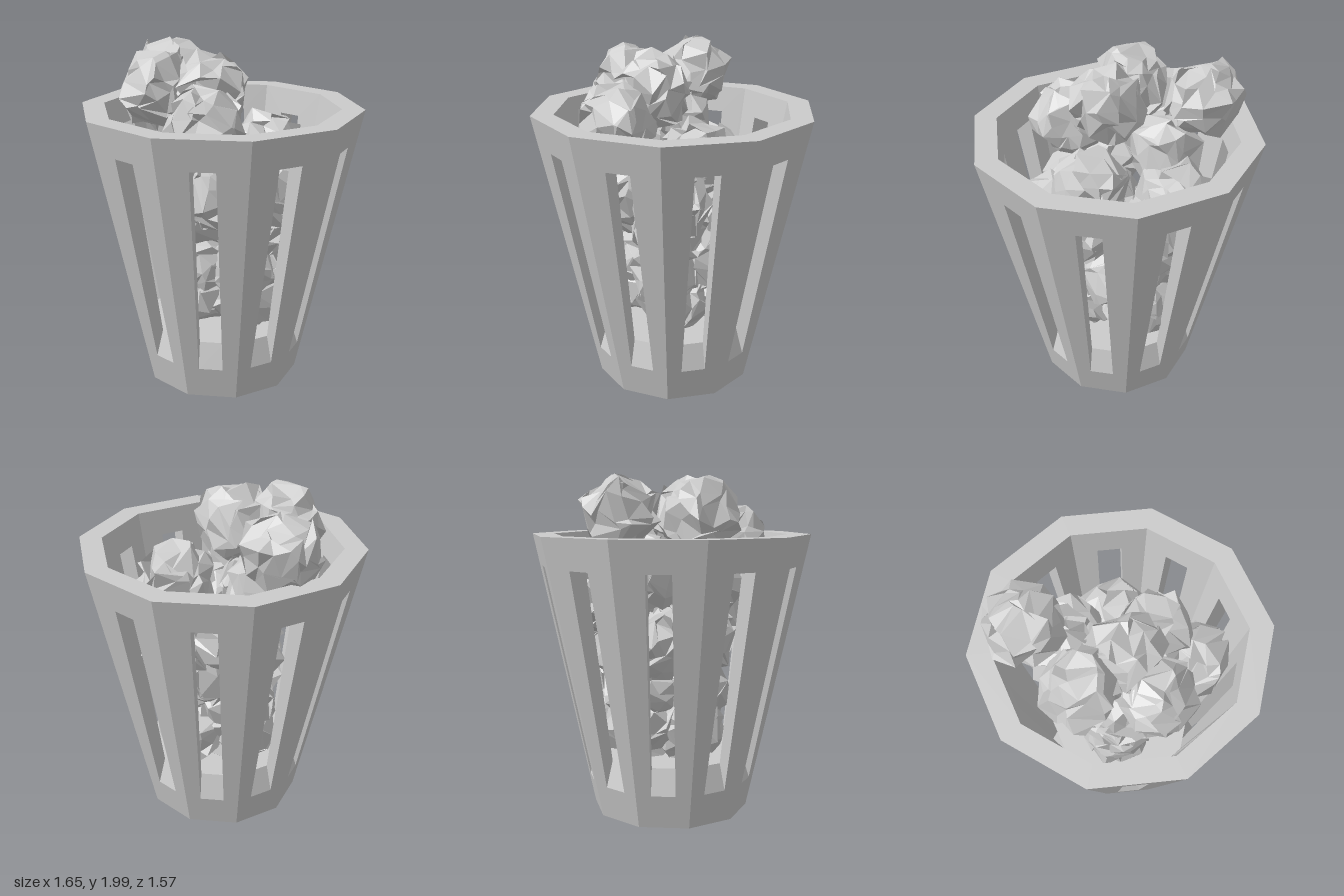
import * as THREE from 'three';

const SIDES = 10, TAN = Math.tan(Math.PI / SIDES);
const H = 1.655, FLOOR = 0.35, SLOT_W = 0.07;
// distance of the wall faces from the axis; the wall thickens towards the rim
const outer = y => 0.444 + 0.2065 * y;
const inner = y => 0.374 + 0.173 * y;

// small seeded generator
function seeded(seed) {
  let s = seed * 7919 + 17;
  return () => {
    s = (s + 0x6d2b79f5) | 0;
    let t = Math.imul(s ^ (s >>> 15), 1 | s);
    t = (t + Math.imul(t ^ (t >>> 7), 61 | t)) ^ t;
    return ((t ^ (t >>> 14)) >>> 0) / 4294967296;
  };
}

// One of the ten wall panels: slotted outside and inside, slot sides, rim, floor and base wedges
function panelGeometry() {
  const pos = [];
  const tri = (a, b, c) => pos.push(...a, ...b, ...c);
  const quad = (a, b, c, d) => { tri(a, b, c); tri(a, c, d); };
  const P = (f, x, y) => [x, y, f(y)];
  const corner = (f, s, y) => P(f, s * f(y) * TAN, y);

  // a sloping face from y0 to H with an opening from low to high
  const face = (f, y0, low, high, flip) => {
    const q = (a, b, c, d) => flip ? quad(d, c, b, a) : quad(a, b, c, d);
    const bl = corner(f, -1, y0), br = corner(f, 1, y0), tl = corner(f, -1, H), tr = corner(f, 1, H);
    const hbl = P(f, -SLOT_W, low), hbr = P(f, SLOT_W, low);
    const htl = P(f, -SLOT_W, high), htr = P(f, SLOT_W, high);
    q(bl, hbl, htl, tl);
    q(hbr, br, tr, htr);
    q(htl, htr, tr, tl);
    if (low > y0) q(bl, br, hbr, hbl);
    return [hbl, hbr, htr, htl];
  };
  const [a, b, c, d] = face(outer, 0, 0.2, 1.475, false);
  const [e, f, g, h] = face(inner, FLOOR, FLOOR, 1.5, true);

  quad(a, b, f, e);                         // sloping sill
  quad(d, h, g, c);                         // slot head
  quad(a, e, h, d);                         // slot sides
  quad(b, c, g, f);
  quad(corner(outer, -1, H), corner(outer, 1, H), corner(inner, 1, H), corner(inner, -1, H));  // rim
  tri([0, FLOOR, 0], corner(inner, -1, FLOOR), corner(inner, 1, FLOOR));                       // floor
  tri([0, 0, 0], corner(outer, 1, 0), corner(outer, -1, 0));                                   // base

  const geo = new THREE.BufferGeometry();
  geo.setAttribute('position', new THREE.Float32BufferAttribute(pos, 3));
  geo.computeVertexNormals();
  return geo;
}

// Crumpled ball: a faceted sphere whose shared corners are pushed into spikes and dents
function crumpledGeometry(radius, seed) {
  const geo = new THREE.IcosahedronGeometry(1, 2);
  const p = geo.attributes.position, v = new THREE.Vector3();
  const rand = seeded(seed), moved = new Map();
  for (let i = 0; i < p.count; i++) {
    v.fromBufferAttribute(p, i);
    const key = v.toArray().map(n => Math.round(n * 100)).join();
    if (!moved.has(key)) {
      const jitter = new THREE.Vector3(rand() - 0.5, rand() - 0.5, rand() - 0.5).multiplyScalar(0.55);
      const r = radius * (0.82 + 0.32 * rand());
      moved.set(key, v.clone().add(jitter).normalize().multiplyScalar(r));
    }
    const m = moved.get(key);
    p.setXYZ(i, m.x, m.y, m.z);
  }
  geo.computeVertexNormals();
  return geo;
}

export function createModel() {
  const model = new THREE.Group();
  const material = new THREE.MeshStandardMaterial({ color: 0xcccccc, flatShading: true });

  // Basket
  const basket = new THREE.Group();
  basket.name = 'basket';
  const panel = panelGeometry();
  for (let k = 0; k < SIDES; k++) {
    const mesh = new THREE.Mesh(panel, material);
    mesh.name = 'slottedPanel';
    mesh.rotation.y = k * 2 * Math.PI / SIDES;
    basket.add(mesh);
  }
  model.add(basket);

  // Paper balls: heap at the top, then layers down to the floor
  const balls = [
    [-0.36, 1.785, -0.37], [-0.36, 1.765, 0.09], [-0.07, 1.765, 0.09], [-0.05, 1.61, 0.33],
    [-0.09, 1.27, -0.34], [0.22, 1.16, -0.31], [0.36, 1.24, 0.24], [0.26, 1.42, 0.01],
    [-0.24, 1.46, -0.19], [-0.18, 1.36, 0.15], [0.02, 1.22, 0.24],
    [0.17, 1.0, 0.12], [-0.13, 1.05, 0.14], [-0.16, 1.0, -0.16], [0.1, 0.95, -0.24],
    [0.16, 0.76, -0.1], [-0.1, 0.75, -0.2], [-0.11, 0.75, 0.1], [0.14, 0.72, 0.14],
    [0.13, 0.56, -0.22], [-0.12, 0.55, -0.2], [-0.13, 0.53, 0.08], [0.14, 0.53, 0.08]
  ];
  const paper = new THREE.Group();
  paper.name = 'paperBalls';
  balls.forEach(([x, y, z], i) => {
    const mesh = new THREE.Mesh(crumpledGeometry(0.217, i + 1), material);
    mesh.name = 'paperBall';
    mesh.position.set(x, y, z);
    paper.add(mesh);
  });
  model.add(paper);
  return model;
}
